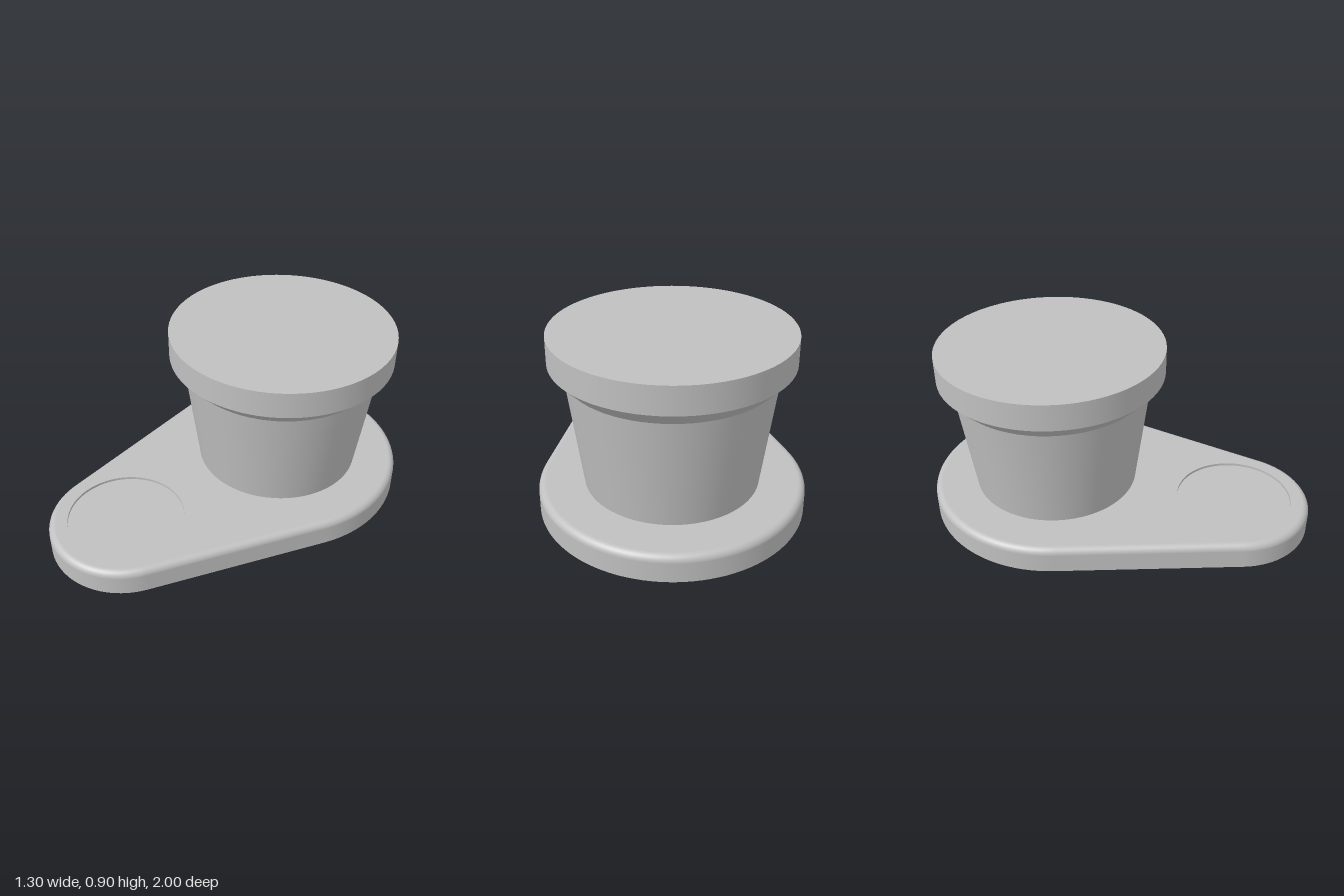
import * as THREE from 'three';
import { mergeGeometries } from 'three/addons/utils/BufferGeometryUtils.js';

const TOP = 0.133, FILLET = 0.035;
const BIG = { z: -0.35, r: 0.65 }, SMALL = { z: 0.613, r: 0.387 };
const RECESS_R = 0.293;

// Tapered outline around two circles, moved inwards by inset: [x, z, normalX, normalZ]
function outline(inset) {
  const a = Math.asin((BIG.r - SMALL.r) / (SMALL.z - BIG.z));
  const points = [];
  const arc = (c, from, to, n) => {
    for (let i = 0; i <= n; i++) {
      const t = from + (to - from) * i / n, nx = Math.cos(t), nz = Math.sin(t);
      points.push([(c.r - inset) * nx, c.z + (c.r - inset) * nz, nx, nz]);
    }
  };
  arc(SMALL, a, Math.PI - a, 40);
  arc(BIG, Math.PI - a, 2 * Math.PI + a, 64);
  return points;
}

// Side wall with a rounded upper edge
function plateWall() {
  const levels = [[0, 0, 0]]; // inset, height, normal tilt
  for (let i = 0; i <= 8; i++) {
    const t = i / 8 * Math.PI / 2;
    levels.push([FILLET * (1 - Math.cos(t)), TOP - FILLET * (1 - Math.sin(t)), t]);
  }
  const pos = [], nor = [], index = [];
  const n = outline(0).length;
  levels.forEach(([inset, y, t], k) => {
    outline(inset).forEach(([x, z, nx, nz], i) => {
      pos.push(x, y, z);
      nor.push(nx * Math.cos(t), Math.sin(t), nz * Math.cos(t));
      if (k === 0) return;
      const j = (i + 1) % n, lo = (k - 1) * n, hi = k * n;
      index.push(lo + i, hi + i, lo + j, lo + j, hi + i, hi + j);
    });
  });
  const g = new THREE.BufferGeometry();
  g.setAttribute('position', new THREE.Float32BufferAttribute(pos, 3));
  g.setAttribute('normal', new THREE.Float32BufferAttribute(nor, 3));
  g.setIndex(index);
  return g;
}

// Flat face of the plate with the round opening
function plateFace(inset, y, up) {
  const s = up ? -1 : 1;
  const shape = new THREE.Shape(outline(inset).map(([x, z]) => new THREE.Vector2(x, s * z)));
  const hole = new THREE.Path();
  hole.absarc(0, s * SMALL.z, RECESS_R, 0, Math.PI * 2, true);
  shape.holes.push(hole);
  return new THREE.ShapeGeometry(shape, 36).rotateX(s * Math.PI / 2).translate(0, y, 0);
}

// Turned part with a sharp edge at every profile point
function turned(profile) {
  const bands = [];
  for (let i = 1; i < profile.length; i++) {
    const pair = [profile[i - 1], profile[i]].map(([r, y]) => new THREE.Vector2(r, y));
    bands.push(new THREE.LatheGeometry(pair, 72));
  }
  return mergeGeometries(bands);
}

export function createModel() {
  const group = new THREE.Group();
  const grey = new THREE.MeshStandardMaterial({ color: 0xc0c0c0 });
  grey.name = 'grey';

  const add = (name, geometry, z = 0) => {
    const mesh = new THREE.Mesh(geometry, grey);
    mesh.name = name;
    mesh.position.z = z;
    group.add(mesh);
  };

  // Base plate
  add('plateWall', plateWall());
  add('plateTop', plateFace(FILLET, TOP, true));
  add('plateUnderside', plateFace(0, 0, false));

  // Shallow recess above, deep recess below, with a thin web between
  add('topRecess', turned([[RECESS_R, TOP], [RECESS_R, 0.12], [0, 0.12]]), SMALL.z);
  add('bottomRecess', turned([[0, 0.095], [RECESS_R, 0.095], [RECESS_R, 0]]), SMALL.z);

  // Tapered body with a flared, flat-topped cap
  add('body', turned([[0.427, TOP], [0.5, 0.69]]), BIG.z);
  add('cap', turned([[0.5, 0.69], [0.573, 0.765], [0.573, 0.9], [0, 0.9]]), BIG.z);

  return group;
}
